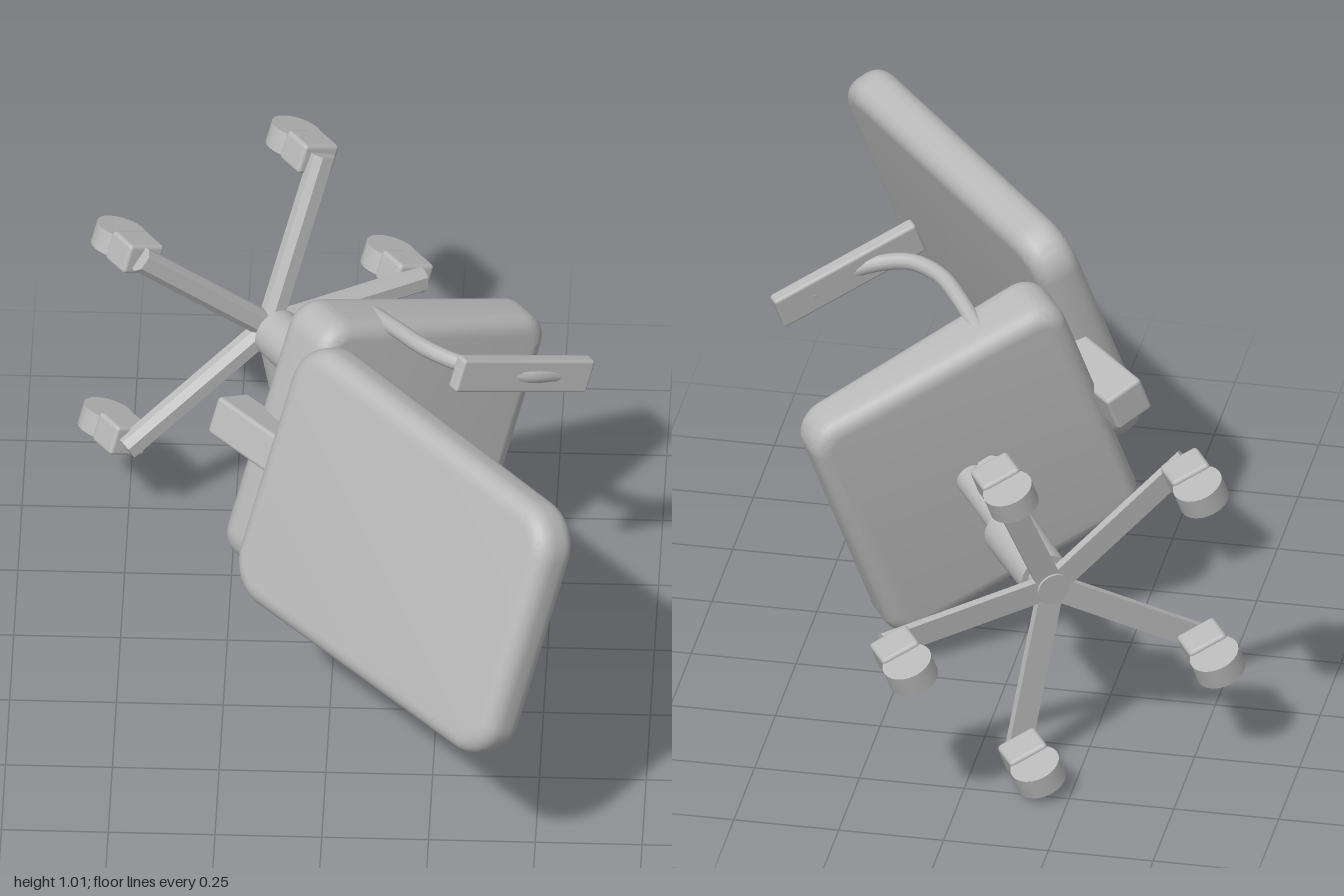
import * as THREE from 'three';
import { toCreasedNormals } from 'three/addons/utils/BufferGeometryUtils.js';
import { RoundedBoxGeometry } from 'three/addons/geometries/RoundedBoxGeometry.js';

const grey = new THREE.MeshStandardMaterial({ color: 0xb8b8b8 });
grey.name = 'plain grey';

function add(parent, name, geometry, x = 0, y = 0, z = 0) {
  const mesh = new THREE.Mesh(geometry, grey);
  mesh.name = name;
  mesh.position.set(x, y, z);
  parent.add(mesh);
  return mesh;
}

// Padded slab: rounded rectangle in XY with soft edges, thickness along Z
function cushion(w, h, t, corner, edge) {
  const a = w / 2 - edge, b = h / 2 - edge, r = corner - edge;
  const s = new THREE.Shape();
  s.moveTo(-a + r, -b);
  s.absarc(a - r, -b + r, r, -Math.PI / 2, 0);
  s.absarc(a - r, b - r, r, 0, Math.PI / 2);
  s.absarc(-a + r, b - r, r, Math.PI / 2, Math.PI);
  s.absarc(-a + r, -b + r, r, Math.PI, Math.PI * 1.5);
  const geometry = new THREE.ExtrudeGeometry(s, {
    depth: t - 2 * edge, bevelThickness: edge, bevelSize: edge, bevelSegments: 6, curveSegments: 8,
  });
  return geometry.translate(0, 0, edge - t / 2);
}

// Chamfered bar for a base leg, running along +Z
function legGeometry(length) {
  const pts = [[-0.03, -0.017], [0.03, -0.017], [0.03, 0.003], [0.016, 0.02], [-0.016, 0.02], [-0.03, 0.003]];
  const s = new THREE.Shape(pts.map(([x, y]) => new THREE.Vector2(x, y)));
  return new THREE.ExtrudeGeometry(s, { depth: length, bevelEnabled: false });
}

export function createModel() {
  const model = new THREE.Group();
  model.name = 'officeChair';

  // The chair lies tipped over: local x = its left, y = its up, z = its forward
  const chair = new THREE.Group();
  chair.name = 'tippedChair';
  const up = new THREE.Vector3(0.555, 0.07, 0.83).normalize();
  const left = up.clone().cross(new THREE.Vector3(0.79, -0.36, -0.498)).normalize();
  const forward = left.clone().cross(up);
  chair.quaternion.setFromRotationMatrix(new THREE.Matrix4().makeBasis(left, up, forward));
  chair.position.set(-0.172, 0.478, -0.585);
  model.add(chair);

  // Five-legged base with casters that all point the same way
  for (let i = 0; i < 5; i++) {
    const angle = THREE.MathUtils.degToRad(14.5 + 72 * i);
    const leg = add(chair, 'baseLeg', legGeometry(0.44));
    leg.rotation.set(0.07, angle, 0, 'YXZ');

    const caster = new THREE.Group();
    caster.name = 'caster';
    caster.position.set(0.42 * Math.sin(angle), 0, 0.42 * Math.cos(angle));
    chair.add(caster);
    add(caster, 'casterBlock', new RoundedBoxGeometry(0.075, 0.085, 0.1, 2, 0.01), 0, -0.083, 0);
    const wheel = add(caster, 'casterWheel', new THREE.CylinderGeometry(0.06, 0.06, 0.055, 24), 0, -0.156, 0);
    wheel.rotation.z = Math.PI / 2;
  }

  // Hub and gas column
  add(chair, 'hub', new THREE.CylinderGeometry(0.045, 0.04, 0.06, 24), 0, 0.005, 0);
  add(chair, 'columnSleeve', new THREE.CylinderGeometry(0.065, 0.06, 0.215, 28), 0, 0.137, 0);
  add(chair, 'columnRod', new THREE.CylinderGeometry(0.039, 0.039, 0.3, 24), 0, 0.36, 0);

  // Seat, a little thicker toward the back
  const seat = cushion(0.675, 0.68, 0.15, 0.075, 0.04).rotateX(-Math.PI / 2);
  const p = seat.attributes.position;
  for (let i = 0; i < p.count; i++) {
    const rise = (p.getY(i) + 0.075) / 0.15;
    p.setY(i, p.getY(i) + rise * (0.004 - p.getZ(i) * 0.075));
  }
  add(chair, 'seat', toCreasedNormals(seat, 0.6), 0, 0.55, -0.02);

  // Backrest, leaning slightly forward
  const back = cushion(0.655, 0.965, 0.115, 0.11, 0.045);
  const bp = back.attributes.position;
  for (let i = 0; i < bp.count; i++) bp.setX(i, bp.getX(i) * (1 - 0.03 * bp.getY(i)));
  add(chair, 'backrest', toCreasedNormals(back, 0.6), 0.008, 1.157, -0.36).rotation.x = 0.125;

  // Bar joining the seat to the backrest
  add(chair, 'backBar', new RoundedBoxGeometry(0.095, 0.54, 0.1, 2, 0.01), 0, 0.7, -0.36).rotation.x = 0.17;

  // Armrests: bent tube running into a flat pad
  for (const side of [1, -1]) {
    const arm = new THREE.Group();
    arm.name = side > 0 ? 'leftArmrest' : 'rightArmrest';
    chair.add(arm);
    const path = new THREE.CatmullRomCurve3([
      [0.32, 0.55, -0.165], [0.335, 0.66, -0.17], [0.345, 0.77, -0.165], [0.352, 0.86, -0.125],
      [0.357, 0.91, -0.05], [0.358, 0.932, 0.03], [0.358, 0.925, 0.11],
    ].map(([x, y, z]) => new THREE.Vector3(side * x, y, z)));
    add(arm, 'armTube', new THREE.TubeGeometry(path, 28, 0.02, 10));
    add(arm, 'armPad', new RoundedBoxGeometry(0.085, 0.036, 0.38, 2, 0.008), side * 0.358, 0.925, 0.01);
  }

  // Small loose cube lying beside the chair
  add(model, 'looseCube', new THREE.BoxGeometry(0.022, 0.022, 0.022), -0.083, 0.012, -0.39);

  return model;
}
